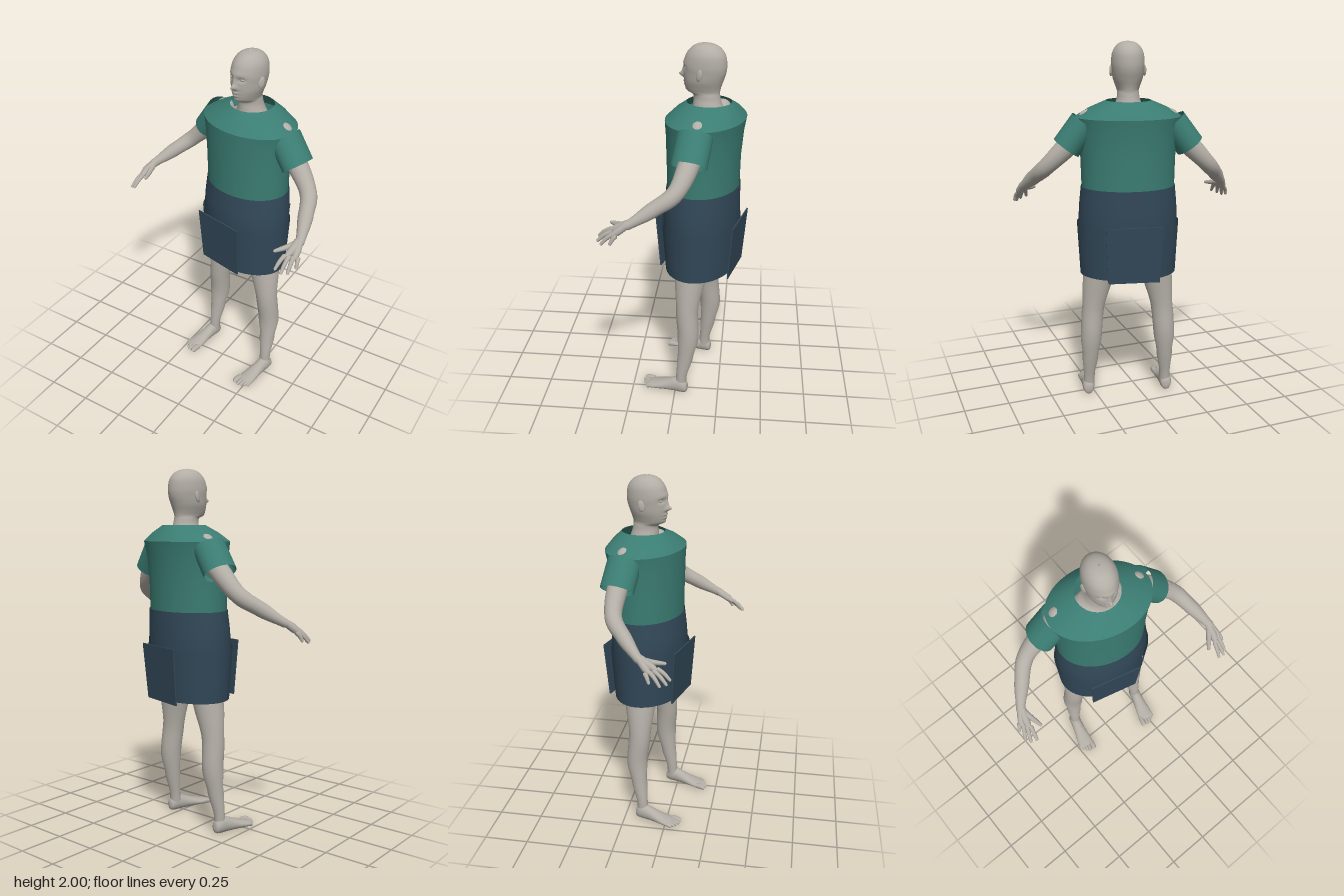
import * as THREE from 'three';

const mat = (name, color, side = THREE.FrontSide) => {
  const m = new THREE.MeshStandardMaterial({ color, side });
  m.name = name;
  return m;
};

// Smooth interpolation through rows of numbers, n steps between rows
function smoothRows(rows, n) {
  const out = [];
  for (let i = 0; i < rows.length - 1; i++) {
    const p = [rows[Math.max(i - 1, 0)], rows[i], rows[i + 1], rows[Math.min(i + 2, rows.length - 1)]];
    for (let k = 0; k < n; k++) {
      const t = k / n;
      out.push(p[1].map((_, c) => {
        const [a, b, d, e] = p.map(r => r[c]);
        return 0.5 * (2 * b + (d - a) * t + (2 * a - 5 * b + 4 * d - e) * t * t + (3 * b - a - 3 * d + e) * t * t * t);
      }));
    }
  }
  out.push(rows[rows.length - 1]);
  return out;
}

// Skin over elliptical rings [y, centreZ, radiusX, radiusZ], listed upwards
function loft(rows, seg = 48, shape = null) {
  const pos = [], idx = [];
  rows.forEach(([y, cz, rx, rz], i) => {
    for (let j = 0; j < seg; j++) {
      const a = (j / seg) * Math.PI * 2;
      const p = new THREE.Vector3(rx * Math.cos(a), y, cz + rz * Math.sin(a));
      if (shape) shape(p);
      pos.push(p.x, p.y, p.z);
      if (i < rows.length - 1) {
        const b = (j + 1) % seg, r = i * seg, s = r + seg;
        idx.push(r + j, s + j, r + b, r + b, s + j, s + b);
      }
    }
  });
  const g = new THREE.BufferGeometry();
  g.setAttribute('position', new THREE.Float32BufferAttribute(pos, 3));
  g.setIndex(idx);
  g.computeVertexNormals();
  return g;
}

// Round-ended limb along points [x, y, z, radius]
function limb(points, seg = 40, sides = 20) {
  const curve = new THREE.CatmullRomCurve3(points.map(p => new THREE.Vector3(p[0], p[1], p[2])));
  const g = new THREE.TubeGeometry(curve, seg, 1, sides, false);
  const len = curve.getLength(), pos = g.attributes.position, v = new THREE.Vector3();
  for (let i = 0; i <= seg; i++) {
    const u = i / seg, f = curve.getUtoTmapping(u) * (points.length - 1);
    const k = Math.min(Math.floor(f), points.length - 2);
    let r = THREE.MathUtils.lerp(points[k][3], points[k + 1][3], THREE.MathUtils.smoothstep(f - k, 0, 1));
    const d = Math.min(u, 1 - u) * len;
    if (d < r) r *= Math.max(0.02, Math.sqrt(1 - (1 - d / r) ** 2));
    const c = curve.getPointAt(u);
    for (let j = 0; j <= sides; j++) {
      const n = i * (sides + 1) + j;
      v.fromBufferAttribute(pos, n).sub(c).multiplyScalar(r).add(c);
      pos.setXYZ(n, v.x, v.y, v.z);
    }
  }
  return g;
}

export function createModel() {
  const skin = mat('skin', 0xb2ada5);
  const shirtGreen = mat('shirt green', 0x3b7d73, THREE.DoubleSide);
  const skirtBlue = mat('skirt blue', 0x324858, THREE.DoubleSide);

  const root = new THREE.Group();
  root.name = 'figure';
  // The whole body is turned slightly to its right
  const body = new THREE.Group();
  body.name = 'body';
  body.position.set(0.08, 0, -0.14);
  body.rotation.y = -0.244;
  root.add(body);
  const add = (name, geo, m) => {
    const mesh = new THREE.Mesh(geo, m);
    mesh.name = name;
    body.add(mesh);
    return mesh;
  };
  const ball = (name, x, y, z, sx, sy, sz, m = skin) => {
    const b = add(name, new THREE.SphereGeometry(1, 24, 16), m);
    b.position.set(x, y, z);
    b.scale.set(sx, sy, sz);
    return b;
  };

  // Head and neck: rows of y, front z, back z, half width; the face is pushed in and out
  const headRows = [
    [1.62, 0.08, -0.1, 0.16], [1.66, 0.065, -0.1, 0.085], [1.7, 0.06, -0.088, 0.063], [1.735, 0.063, -0.08, 0.057],
    [1.752, 0.094, -0.08, 0.058], [1.775, 0.105, -0.085, 0.066], [1.81, 0.11, -0.097, 0.078], [1.85, 0.112, -0.11, 0.084],
    [1.89, 0.113, -0.114, 0.087], [1.94, 0.1, -0.106, 0.081], [1.975, 0.073, -0.08, 0.062], [1.993, 0.042, -0.046, 0.036],
    [2.0, 0.001, -0.003, 0.002],
  ].map(([y, f, b, w]) => [y, (f + b) / 2, w, (f - b) / 2]);
  const bumps = [ // x, y, spread x, spread y, amount
    [0, 1.833, 0.012, 0.012, 0.022], [0, 1.855, 0.009, 0.024, 0.011], [0, 1.825, 0.022, 0.009, 0.008],
    [0.034, 1.872, 0.019, 0.012, -0.011], [-0.034, 1.872, 0.019, 0.012, -0.011], [0, 1.9, 0.05, 0.012, 0.004],
    [0, 1.798, 0.022, 0.006, 0.008], [0, 1.782, 0.02, 0.006, 0.007], [0, 1.79, 0.026, 0.003, -0.003],
    [0, 1.758, 0.022, 0.012, 0.005],
  ];
  add('head', loft(smoothRows(headRows, 7), 96, p => {
    if (p.z > 0.03) for (const [x, y, sx, sy, a] of bumps)
      p.z += a * Math.exp(-(((p.x - x) / sx) ** 2) - ((p.y - y) / sy) ** 2);
  }), skin);
  add('torso', loft(smoothRows([
    [0.85, 0, 0.15, 0.1], [1.05, 0, 0.19, 0.12], [1.25, 0, 0.16, 0.1], [1.5, -0.01, 0.18, 0.11],
    [1.6, -0.015, 0.19, 0.09], [1.66, -0.02, 0.08, 0.06]], 5)), skin);

  // Shirt body with a creased shoulder line and an open neck
  add('shirt', loft([
    [1.22, 0, 0.25, 0.189], [1.4, 0, 0.254, 0.192], [1.54, -0.005, 0.267, 0.199], [1.615, -0.01, 0.283, 0.207],
    [1.615, -0.01, 0.283, 0.207], [1.66, -0.017, 0.21, 0.167], [1.7, -0.025, 0.118, 0.118],
  ], 64), shirtGreen);

  // Skirt: waist, flared lower flap, flat front and back panels
  add('skirtWaist', loft([[0.78, 0.005, 0.255, 0.185], [1.05, 0.008, 0.27, 0.205], [1.15, 0.005, 0.264, 0.2],
    [1.245, 0, 0.254, 0.194]], 64), skirtBlue);
  add('skirtFlap', loft([[0.755, 0.01, 0.263, 0.19], [1.045, 0.01, 0.278, 0.211]], 64), skirtBlue);
  const panel = (name, y, z, tilt) => {
    const g = new THREE.BoxGeometry(0.3, 0.31, 0.007);
    const p = g.attributes.position;
    for (let i = 0; i < p.count; i++) if (p.getY(i) < 0) p.setX(i, p.getX(i) * 0.92);
    const m = add(name, g, skirtBlue);
    m.position.set(-0.01, y, z);
    m.rotation.x = tilt;
  };
  panel('frontPanel', 0.915, 0.216, 0.065);
  panel('backPanel', 0.9, -0.196, -0.08);

  for (const s of [1, -1]) {
    const side = s > 0 ? 'left' : 'right';
    const part = (name, pts, seg, sides) => add(side + name, limb(pts.map(([x, ...r]) => [s * x, ...r]), seg, sides), skin);

    // Face sides
    ball(side + 'Eye', s * 0.033, 1.872, 0.09, 0.013, 0.008, 0.01);
    const ear = ball(side + 'Ear', s * 0.087, 1.85, 0.005, 0.008, 0.031, 0.018);
    ear.rotation.set(-0.2, s * -0.35, 0);

    // Short sleeve, open at the cuff
    const sleeve = add(side + 'Sleeve', new THREE.CylinderGeometry(0.079, 0.079, 0.165, 40, 1, true), shirtGreen);
    sleeve.position.set(s * 0.279, 1.522, -0.026);
    sleeve.rotation.z = s * 0.64;
    sleeve.scale.z = 1.18;
    ball(side + 'Shoulder', s * 0.215, 1.59, -0.035, 0.055, 0.066, 0.05);

    // Arm and hand
    part('Arm', [[0.2, 1.57, -0.025, 0.07], [0.325, 1.46, -0.025, 0.055], [0.44, 1.345, 0.01, 0.045],
      [0.5, 1.28, 0.095, 0.04], [0.56, 1.21, 0.2, 0.025], [0.572, 1.195, 0.23, 0.026]], 60);
    const palm = [0.575, 1.172, 0.265];
    part('Palm', [[0.556, 1.213, 0.2, 0.022], [0.562, 1.182, 0.262, 0.021], [0.56, 1.16, 0.305, 0.014]]);
    part('PalmOuter', [[0.562, 1.213, 0.205, 0.02], [0.583, 1.175, 0.25, 0.02], [0.592, 1.15, 0.28, 0.014]]);
    const tips = [[0.55, 1.11, 0.378], [0.584, 1.098, 0.373], [0.606, 1.092, 0.345], [0.617, 1.104, 0.29]];
    tips.forEach(([x, y, z], i) => {
      const k = i / 3;
      const a = [0.553 + 0.045 * k, 1.168 - 0.012 * k, 0.3 - 0.045 * k];
      part('Finger' + (i + 1), [[...a, 0.013], [(a[0] + x) / 2, (a[1] + y) / 2 + 0.008, (a[2] + z) / 2, 0.011], [x, y, z, 0.008]], 20, 12);
    });
    part('Thumb', [[palm[0] - 0.02, 1.2, 0.22, 0.017], [0.528, 1.185, 0.275, 0.014], [0.498, 1.175, 0.332, 0.009]], 24, 12);

    // Leg
    part('Leg', [[0.1, 1.0, 0, 0.1], [0.13, 0.87, 0.008, 0.1], [0.162, 0.74, 0.018, 0.084], [0.195, 0.54, 0.026, 0.062],
      [0.208, 0.38, 0.015, 0.06], [0.214, 0.25, 0.028, 0.045], [0.221, 0.11, 0.05, 0.031], [0.222, 0.03, 0.055, 0.033]], 90, 28);

    // Foot: rings from heel to ball, then five toes
    const foot = loft(smoothRows([
      [0.012, -0.036, 0.003, 0.004], [0.018, -0.038, 0.024, 0.03], [0.045, -0.048, 0.034, 0.047], [0.085, -0.046, 0.035, 0.045],
      [0.13, -0.037, 0.038, 0.036], [0.19, -0.026, 0.046, 0.025], [0.235, -0.02, 0.049, 0.018], [0.252, -0.018, 0.044, 0.012],
      [0.258, -0.018, 0.01, 0.003]], 4), 32).rotateX(Math.PI / 2).translate(s * 0.226, 0, 0);
    add(side + 'Foot', foot, skin);
    [0.288, 0.29, 0.28, 0.268, 0.255].forEach((z, i) => {
      const x = 0.189 + [0, 0.026, 0.045, 0.062, 0.077][i], r = i ? 0.0105 : 0.016;
      part('Toe' + (i + 1), [[x, 0.022, 0.22, r], [x, 0.022, z - 0.025, r], [x, 0.013, z, r]], 20, 12);
    });
  }
  return root;
}
